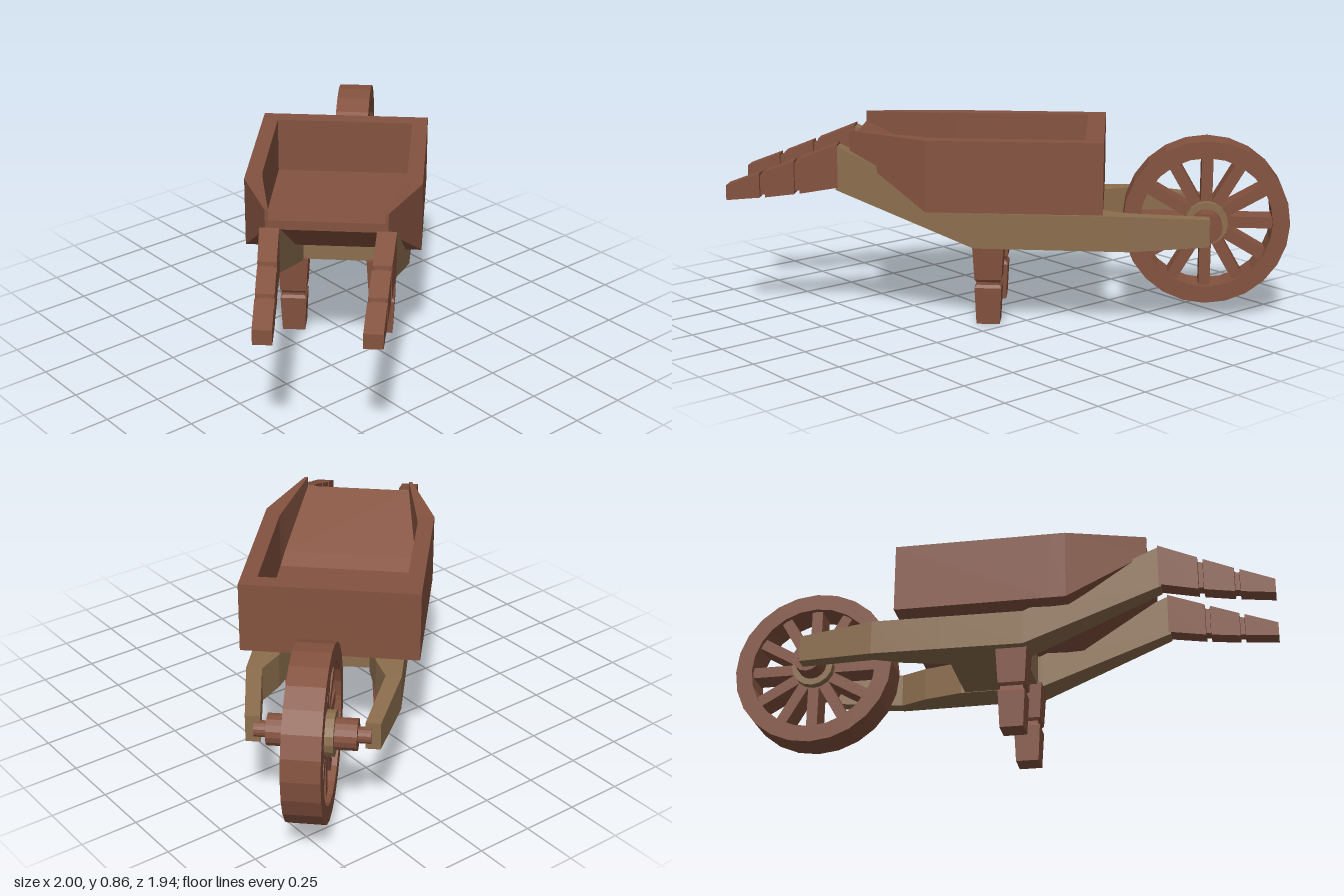
import * as THREE from 'three';

const brown = new THREE.MeshStandardMaterial({ color: 0x84523f, flatShading: true });
const tan = new THREE.MeshStandardMaterial({ color: 0x8c6e4e, flatShading: true });

function add(parent, name, geometry, material) {
  const mesh = new THREE.Mesh(geometry, material);
  mesh.name = name;
  parent.add(mesh);
  return mesh;
}

// Solid through rectangular sections [z, xInner, xOuter, yLow, yHigh]; side = -1 mirrors it
function loft(sections, side = 1) {
  const pos = [];
  const idx = [];
  for (const [z, xi, xo, y0, y1] of sections) {
    const x0 = Math.min(xi * side, xo * side);
    const x1 = Math.max(xi * side, xo * side);
    pos.push(x0, y0, z, x1, y0, z, x1, y1, z, x0, y1, z);
  }
  const last = (sections.length - 1) * 4;
  for (let i = 0; i < last; i += 4) {
    for (let j = 0; j < 4; j++) {
      const a = i + j, b = i + (j + 1) % 4;
      idx.push(a, b, b + 4, a, b + 4, a + 4);
    }
  }
  idx.push(0, 2, 1, 0, 3, 2, last, last + 1, last + 2, last, last + 2, last + 3);
  const geo = new THREE.BufferGeometry();
  geo.setAttribute('position', new THREE.Float32BufferAttribute(pos, 3));
  geo.setIndex(idx);
  const flat = geo.toNonIndexed();
  flat.computeVertexNormals();
  return flat;
}

function buildTray() {
  const tray = new THREE.Group();
  tray.name = 'tray';
  tray.position.x = -0.01;
  for (const s of [1, -1]) {
    add(tray, 'sideWall', loft([
      [-0.505, 0.31, 0.38, 0.53, 0.84],
      [0.18, 0.31, 0.38, 0.53, 0.84],
      [0.25, 0.3, 0.38, 0.53, 0.84],
      [0.592, 0.238, 0.252, 0.77, 0.855],
    ], s), brown);
  }
  add(tray, 'backWall', loft([[-0.505, -0.31, 0.31, 0.53, 0.84], [-0.425, -0.31, 0.31, 0.53, 0.84]]), brown);
  // Flat floor that rises to a lip at the open end
  add(tray, 'floor', loft([
    [-0.425, -0.31, 0.31, 0.53, 0.59],
    [0.18, -0.31, 0.31, 0.53, 0.59],
    [0.25, -0.3, 0.3, 0.535, 0.63],
    [0.592, -0.242, 0.242, 0.77, 0.81],
  ]), brown);
  return tray;
}

function buildFrameSide(s) {
  const side = new THREE.Group();
  side.name = s > 0 ? 'leftFrame' : 'rightFrame';
  // Beam: bowed round the wheel, flat under the tray, then rising to the grip
  add(side, 'beam', loft([
    [-0.96, 0.21, 0.272, 0.375, 0.495],
    [-0.62, 0.257, 0.324, 0.36, 0.515],
    [-0.5, 0.205, 0.322, 0.36, 0.515],
    [-0.32, 0.16, 0.319, 0.36, 0.515],
    [0.05, 0.16, 0.313, 0.36, 0.515],
    [0.65, 0.2, 0.278, 0.6, 0.795],
  ], s), tan);
  // Carved grip: three tapering segments with narrow necks
  add(side, 'grip', loft([
    [0.64, 0.198, 0.279, 0.61, 0.8],
    [0.81, 0.19, 0.268, 0.578, 0.732],
    [0.812, 0.2, 0.256, 0.59, 0.715],
    [0.832, 0.2, 0.256, 0.588, 0.71],
    [0.834, 0.188, 0.266, 0.575, 0.722],
    [0.965, 0.182, 0.26, 0.557, 0.67],
    [0.967, 0.192, 0.248, 0.567, 0.655],
    [0.987, 0.192, 0.248, 0.565, 0.65],
    [0.989, 0.18, 0.259, 0.555, 0.662],
    [1.138, 0.174, 0.253, 0.54, 0.605],
  ], s), brown);
  // Leg with a notch, lofted upwards
  const legRings = [[0, 0.051], [0.165, 0.059], [0.178, 0.05], [0.19, 0.05], [0.203, 0.059], [0.37, 0.069]];
  const leg = add(side, 'leg', loft(legRings.map(([y, h]) => [y, -h, h, -h, h])), brown);
  leg.rotation.x = -Math.PI / 2;
  leg.position.set(0.2 * s - 0.008, 0, -0.008);
  return side;
}

function buildWheel() {
  const wheel = new THREE.Group();
  wheel.name = 'wheel';
  wheel.position.set(0, 0.435, -0.955);

  // Rim
  const ring = new THREE.Shape().absarc(0, 0, 0.365, 0, Math.PI * 2);
  ring.holes.push(new THREE.Path().absarc(0, 0, 0.29, 0, Math.PI * 2, true));
  const rim = new THREE.ExtrudeGeometry(ring, { depth: 0.156, bevelEnabled: false, curveSegments: 12 });
  add(wheel, 'rim', rim.translate(0, 0, -0.078).rotateY(Math.PI / 2), brown);

  // Broad spokes
  for (let i = 0; i < 12; i++) {
    const spoke = new THREE.BoxGeometry(0.11, 0.24, 0.05).translate(0, 0.19, 0);
    add(wheel, 'spoke', spoke.rotateX(i * Math.PI / 6), brown);
  }

  // Hub and stepped axle
  const barrel = (name, radius, halfLength, material) => add(wheel, name,
    new THREE.CylinderGeometry(radius, radius, halfLength * 2, 16).rotateZ(Math.PI / 2), material);
  barrel('hub', 0.095, 0.092, tan);
  barrel('axleCollar', 0.066, 0.182, brown);
  barrel('axle', 0.034, 0.235, brown);
  return wheel;
}

export function createModel() {
  const model = new THREE.Group();
  model.name = 'wheelbarrow';
  const barrow = new THREE.Group();
  barrow.name = 'barrow';
  barrow.add(buildTray(), buildFrameSide(1), buildFrameSide(-1), buildWheel());
  // Cross member between the beams
  add(barrow, 'crossMember', loft([[-0.3, -0.17, 0.17, 0.362, 0.51], [0.04, -0.17, 0.17, 0.362, 0.51]]), tan);
  // The barrow stands diagonally
  barrow.rotation.y = THREE.MathUtils.degToRad(46.1);
  barrow.position.set(0.003, 0, -0.003);
  model.add(barrow);
  return model;
}
